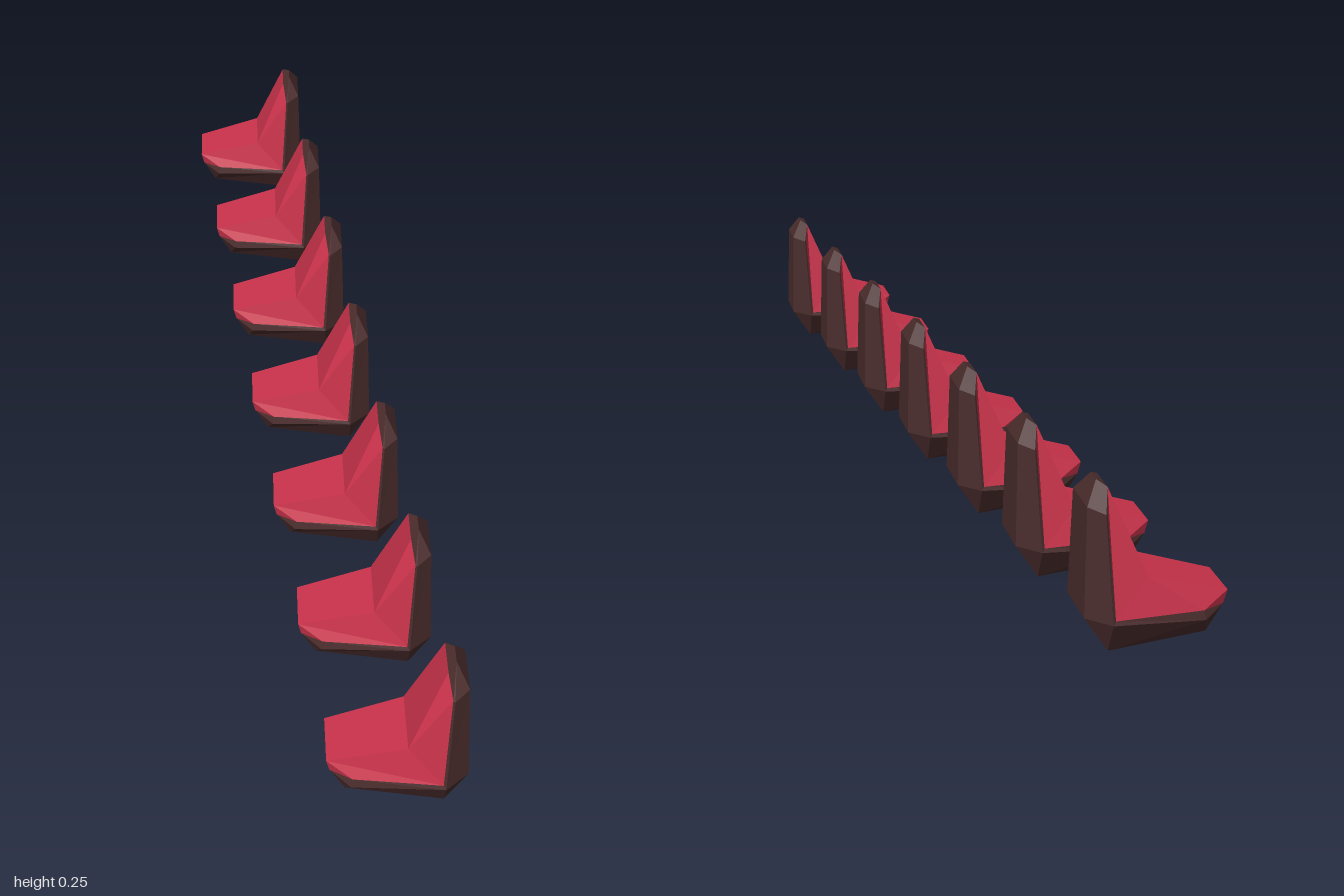
import * as THREE from 'three';

// Half-seat corners [x (back is +), y, half width]; mirrored across the seat's middle
const P = {
  // cushion panel corners
  lip: [-0.109, 0.079, 0.045], crease: [0.013, 0.111, 0.056], head: [0.07, 0.243, 0.032],
  // seam between cushion and shell
  seamFront: [-0.07, 0.056, 0.062], seamBack: [0.066, 0.056, 0.079], seamTop: [0.076, 0.212, 0.06],
  // shell rim
  rimFront: [-0.072, 0.042, 0.065], rimBack: [0.07, 0.05, 0.082], rimTop: [0.079, 0.212, 0.063],
  // shell centre profile
  nose: [-0.104, 0.057, 0.042], baseFront: [-0.08, 0.014, 0.038], baseBack: [0.07, 0, 0.052],
  heel: [0.106, 0.053, 0.052], shoulder: [0.102, 0.218, 0.043], crown: [0.083, 0.25, 0.016],
};

// strip: profile spanning the middle; sides: polygons repeated on both flanks
function panels(strip, sides) {
  const pos = [];
  const polygon = (pts) => {
    for (let i = 1; i < pts.length - 1; i++) pos.push(...pts[0], ...pts[i], ...pts[i + 1]);
  };
  const at = (name, s) => [P[name][0], P[name][1], s * P[name][2]];
  for (let i = 0; i < strip.length - 1; i++) {
    const [a, b] = [strip[i], strip[i + 1]];
    polygon([at(a, 1), at(a, -1), at(b, -1), at(b, 1)]);
  }
  for (const side of sides) {
    const names = side.split(' ');
    polygon(names.map((n) => at(n, 1)));
    polygon(names.map((n) => at(n, -1)).reverse());
  }
  const g = new THREE.BufferGeometry();
  g.setAttribute('position', new THREE.Float32BufferAttribute(pos, 3));
  g.computeVertexNormals();
  return g;
}

export function createModel() {
  const model = new THREE.Group();
  model.name = 'seatRow';
  const red = new THREE.MeshStandardMaterial({ color: 0xc8324a, flatShading: true, side: THREE.DoubleSide });
  const dark = new THREE.MeshStandardMaterial({ color: 0x4a2c2c, flatShading: true, side: THREE.DoubleSide });

  // Upholstered seat and backrest
  const cushion = panels(['head', 'crease', 'lip', 'nose'], [
    'lip seamFront seamBack crease',
    'crease seamBack seamTop head',
    'lip nose seamFront',
  ]);

  // Outer shell: underside, back, crown and rim
  const shell = panels(['nose', 'baseFront', 'baseBack', 'heel', 'shoulder', 'crown', 'head'], [
    'nose baseFront rimFront',
    'nose rimFront seamFront',
    'baseFront baseBack rimBack rimFront',
    'baseBack heel rimBack',
    'rimBack heel shoulder rimTop',
    'rimTop shoulder crown',
    'seamTop rimTop crown head',
    'seamFront rimFront rimBack seamBack',
    'seamBack rimBack rimTop seamTop',
  ]);

  // Seven seats in a slightly slanted row, each turned a little
  for (let i = -3; i <= 3; i++) {
    const seat = new THREE.Group();
    seat.name = `seat${i + 4}`;
    const cushionMesh = new THREE.Mesh(cushion, red);
    cushionMesh.name = 'cushion';
    const shellMesh = new THREE.Mesh(shell, dark);
    shellMesh.name = 'shell';
    seat.add(cushionMesh, shellMesh);
    seat.rotation.y = -0.19;
    seat.position.set(-0.0232 * i, 0, 0.305 * i - 0.009);
    model.add(seat);
  }
  return model;
}
